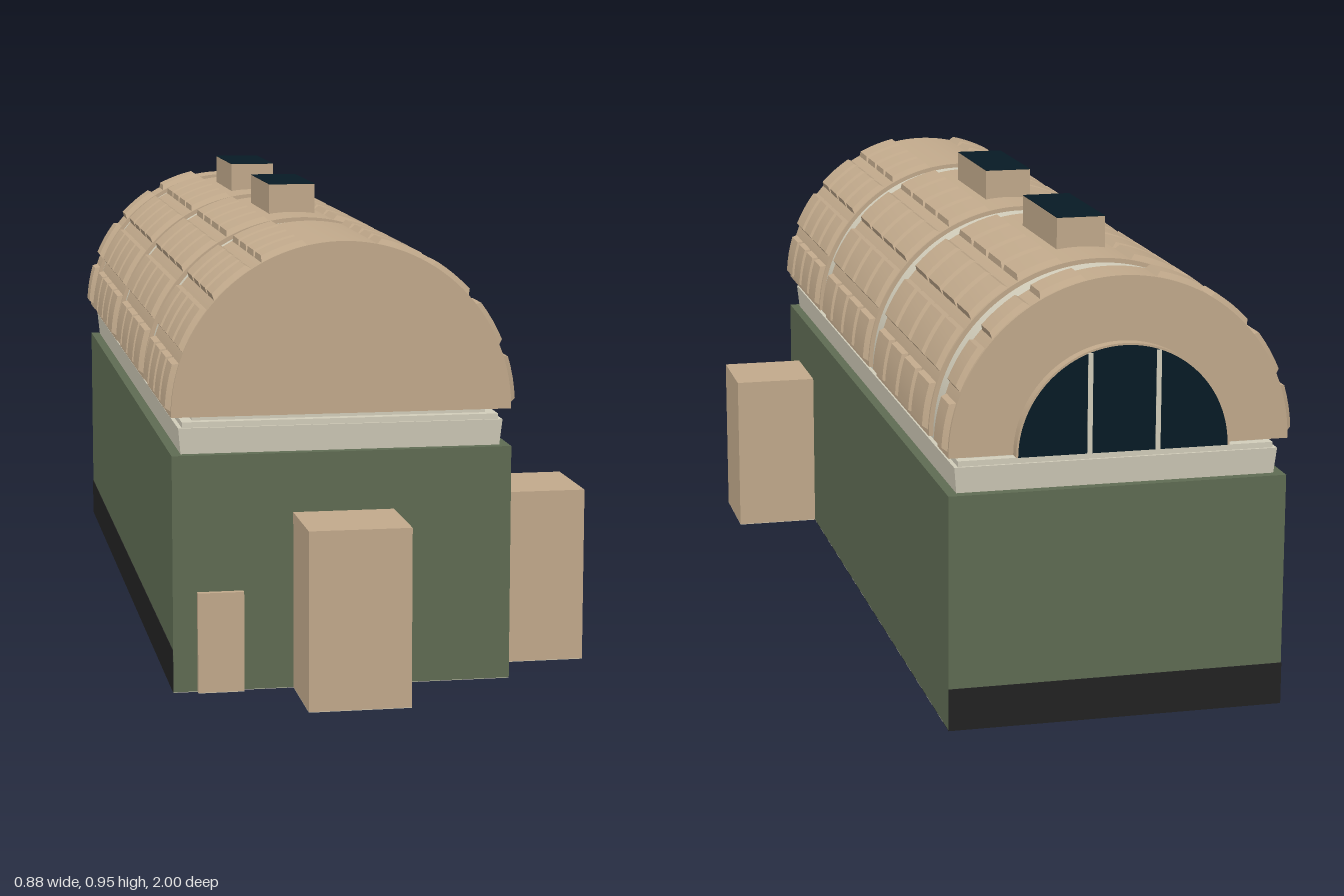
import * as THREE from 'three';
import { toCreasedNormals } from 'three/addons/utils/BufferGeometryUtils.js';

const CX = -0.09, SPRING = 0.55, R = 0.34; // vault axis, springing height, radius
const FRONT = 0.815, BACK = -0.975;

const mat = (name, color) => {
  const m = new THREE.MeshStandardMaterial({ color });
  m.name = name;
  return m;
};

export function createModel() {
  const green = mat('greenWall', 0x5f6c53);
  const tan = mat('tan', 0xc2aa8c);
  const stone = mat('paleStone', 0xd3cebb);
  const black = mat('blackBase', 0x222222);
  const glass = mat('darkGlass', 0x071a25);
  const model = new THREE.Group();
  model.name = 'vaultedBuilding';

  const add = (name, geometry, material, parent = model) => {
    const m = new THREE.Mesh(geometry, material);
    m.name = name;
    parent.add(m);
    return m;
  };
  // box given by its limits, with an optional flare of the top edges
  const block = (name, x0, x1, y0, y1, z0, z1, material, flare = 0) => {
    const g = new THREE.BoxGeometry(x1 - x0, y1 - y0, z1 - z0);
    const p = g.attributes.position;
    for (let i = 0; i < p.count; i++) {
      if (p.getY(i) > 0) {
        p.setX(i, p.getX(i) + Math.sign(p.getX(i)) * flare);
        p.setZ(i, p.getZ(i) + Math.sign(p.getZ(i)) * flare);
      }
    }
    g.computeVertexNormals();
    g.translate((x0 + x1) / 2, (y0 + y1) / 2, (z0 + z1) / 2);
    return add(name, g, material);
  };
  // half disc, extruded along z
  const arch = (name, r, z0, z1, material) => {
    const s = new THREE.Shape();
    s.absarc(0, 0, r, 0, Math.PI, false);
    s.closePath();
    const g = new THREE.ExtrudeGeometry(s, { depth: z1 - z0, bevelEnabled: false, curveSegments: 40 });
    g.translate(CX, SPRING, z0);
    return add(name, toCreasedNormals(g, 0.5), material);
  };

  // walls, with a dark plinth along the right-hand and back walls
  block('walls', -0.43, 0.25, 0.001, 0.475, BACK, FRONT, green);
  block('sidePlinth', -0.431, -0.43, 0.001, 0.086, BACK - 0.001, FRONT - 0.001, black);
  block('backPlinth', -0.43, 0.25, 0.001, 0.086, BACK - 0.001, BACK, black);

  // underside: alternating stone and dark strips
  const strips = 36, step = (FRONT - BACK) / strips;
  for (let i = 0; i < strips; i++) {
    const z = BACK + i * step;
    block('floorStrip', -0.43, 0.25, 0, 0.001, z, z + step, i % 2 ? stone : black);
  }

  // stepped cornice
  block('corniceLower', -0.41, 0.23, 0.475, 0.527, -0.955, 0.795, stone, 0.005);
  block('corniceMiddle', -0.407, 0.227, 0.527, 0.538, -0.955, 0.795, stone);
  block('corniceUpper', -0.385, 0.205, 0.538, SPRING, -0.935, 0.775, stone);

  // vault bays, each with rows of bevelled panels: [back z, front z, panel count]
  const bays = [[0.39, 0.81, 4], [-0.205, 0.313, 4], [-0.803, -0.287, 4], [BACK, -0.88, 1]];
  const rad = Math.PI / 180;
  const panelGeometry = (midAngle, z0, z1) => {
    const g = new THREE.BoxGeometry(1, 1, 1, 4, 1, 1);
    const p = g.attributes.position;
    for (let i = 0; i < p.count; i++) {
      const top = p.getY(i) > 0;
      const a = (midAngle - p.getX(i) * (top ? 14 : 17)) * rad;
      const r = top ? R + 0.011 : R - 0.004;
      const z = (z0 + z1) / 2 + p.getZ(i) * (z1 - z0 - (top ? 0.018 : 0));
      p.setXYZ(i, CX + r * Math.cos(a), SPRING + r * Math.sin(a), z);
    }
    return toCreasedNormals(g, 0.4);
  };
  const panels = new THREE.Group();
  panels.name = 'vaultPanels';
  model.add(panels);
  for (const [z0, z1, count] of bays) {
    arch('vaultBay', R, z0, z1, tan);
    const pitch = (z1 - z0) / count;
    for (let k = 0; k < count; k++) {
      for (const a of [10, 30, 50, 70, 110, 130, 150, 170]) {
        add('vaultPanel', panelGeometry(a, z0 + k * pitch + 0.005, z0 + (k + 1) * pitch - 0.005), tan, panels);
      }
    }
  }

  // recessed bands between the bays
  for (let i = 0; i < 3; i++) arch('vaultBand', R - 0.009, bays[i + 1][1], bays[i][0], stone);

  // skylights
  for (const z0 of [-0.68, -0.085]) {
    block('skylightCurb', -0.14, -0.04, 0.86, 0.95, z0, z0 + 0.271, tan);
    block('skylightGlass', -0.14, -0.04, 0.95, 0.951, z0, z0 + 0.271, glass);
  }

  // arched window on the back gable
  arch('windowFrame', 0.213, -0.998, BACK, tan);
  arch('windowGlass', 0.209, -0.999, -0.998, glass);
  for (const s of [-1, 1]) {
    const x = CX + s * 0.068;
    block('windowMullion', x - 0.005, x + 0.005, SPRING, SPRING + 0.197, -1, -0.998, stone);
  }

  // entrance boxes and small door, each on a thin stone slab
  const entrance = (name, x0, x1, height, z0, z1) => {
    block(name, x0, x1, 0.001, height, z0, z1, tan);
    block(name + 'Slab', x0, x1, 0, 0.001, z0, z1, stone);
  };
  entrance('frontEntrance', -0.19, 0.012, 0.356, FRONT, 1);
  entrance('leftSideEntrance', 0.25, 0.435, 0.357, 0.495, 0.695);
  entrance('smallDoor', -0.382, -0.29, 0.202, FRONT, 0.828);

  return model;
}
